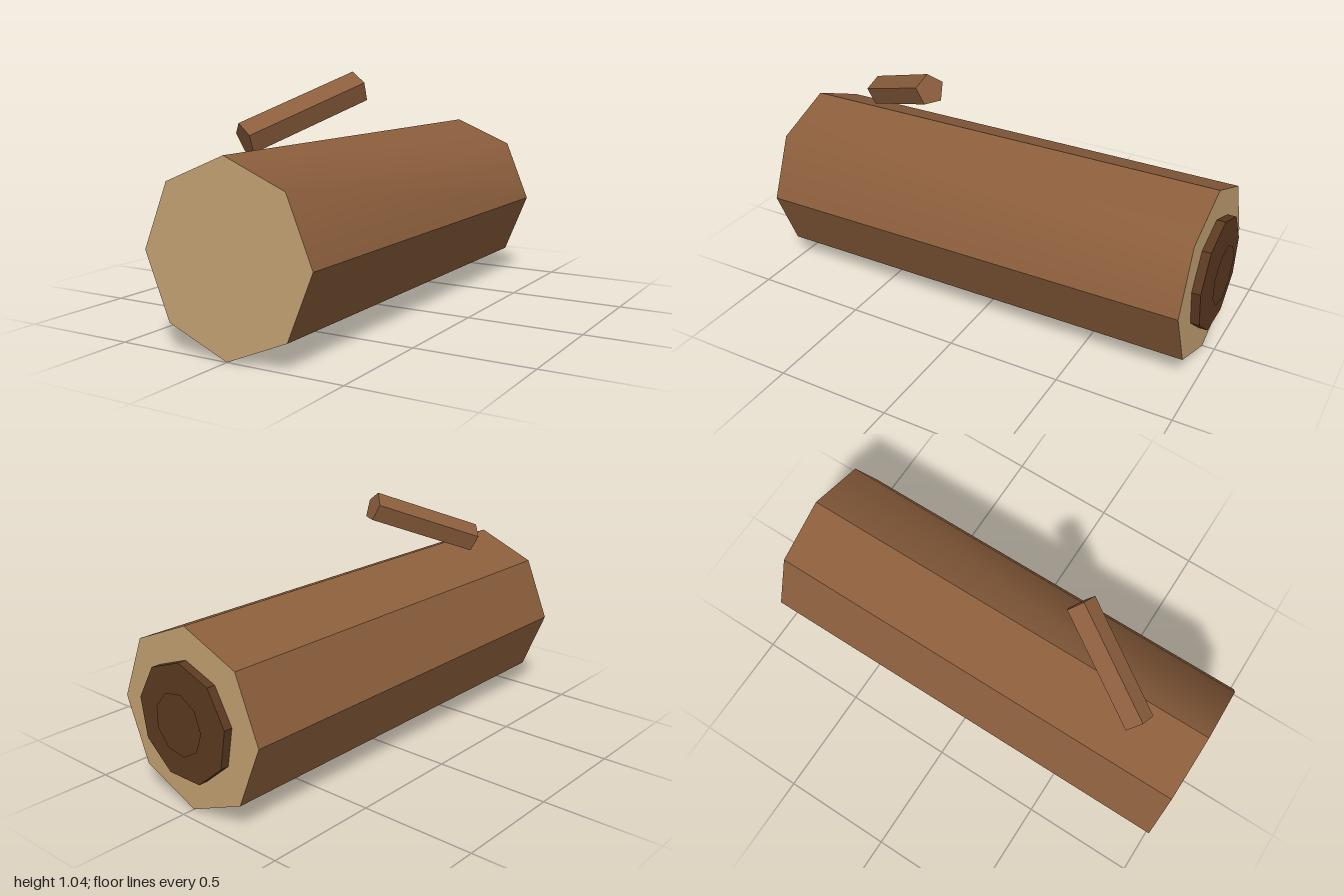
import * as THREE from 'three';
import { toCreasedNormals } from 'three/addons/utils/BufferGeometryUtils.js';

export function createModel() {
  const group = new THREE.Group();
  const material = (name, color) => {
    const m = new THREE.MeshStandardMaterial({ color });
    m.name = name;
    return m;
  };
  const bark = material('bark', 0x8b5e3c);
  const cutWood = material('cut wood', 0xc4a273);
  const hollowWood = material('hollow wood', 0x5c3a21);

  const add = (name, geometry, mat) => {
    const mesh = new THREE.Mesh(geometry, mat);
    mesh.name = name;
    group.add(mesh);
    return mesh;
  };
  const flat = (geometry) => toCreasedNormals(geometry, 0.1);

  const R = 0.379, FRONT = 1, BACK = -0.947;
  const length = FRONT - BACK, middle = (FRONT + BACK) / 2;

  // Eight-sided trunk: one softly rounded quarter, the rest faceted
  const barkArc = (start, sides) =>
    new THREE.CylinderGeometry(R, R, length, sides, 1, true, start, sides * Math.PI / 4)
      .rotateX(Math.PI / 2).translate(0, R, middle);
  add('trunkRoundedBark', toCreasedNormals(barkArc(Math.PI / 2, 2), Math.PI / 3), bark);
  add('trunkFacetedBark', flat(barkArc(Math.PI, 6)), bark);

  // Sawn ends
  add('frontCut', new THREE.CircleGeometry(R, 8).translate(0, R, FRONT), cutWood);
  add('backCut', new THREE.CircleGeometry(R, 8).rotateY(Math.PI).translate(0, R, BACK), cutWood);

  // Dark nine-sided hollow on the back end, with its floating inner face
  add('hollowRim', flat(new THREE.CylinderGeometry(0.245, 0.245, 0.037, 9)
    .rotateX(-Math.PI / 2).translate(0, R, BACK - 0.0185)), hollowWood);
  add('hollowCore', new THREE.CircleGeometry(0.13, 9)
    .rotateY(Math.PI).translate(0, R, -1), hollowWood);

  // Five-sided branch stub leaning up and back
  const start = new THREE.Vector3(-0.108, 0.787, 0.73);
  const along = new THREE.Vector3(0.243, 0.187, -0.435);
  const axis = along.clone().normalize();
  const ridge = new THREE.Vector3(-0.012, 0.063, 0.0204);
  ridge.addScaledVector(axis, -ridge.dot(axis)).normalize();
  const side = new THREE.Vector3().crossVectors(axis, ridge);
  const placement = new THREE.Matrix4().makeBasis(side, axis, ridge)
    .setPosition(start.addScaledVector(along, 0.5));
  add('branch', flat(new THREE.CylinderGeometry(0.067, 0.067, along.length(), 5)
    .applyMatrix4(placement)), bark);

  return group;
}
